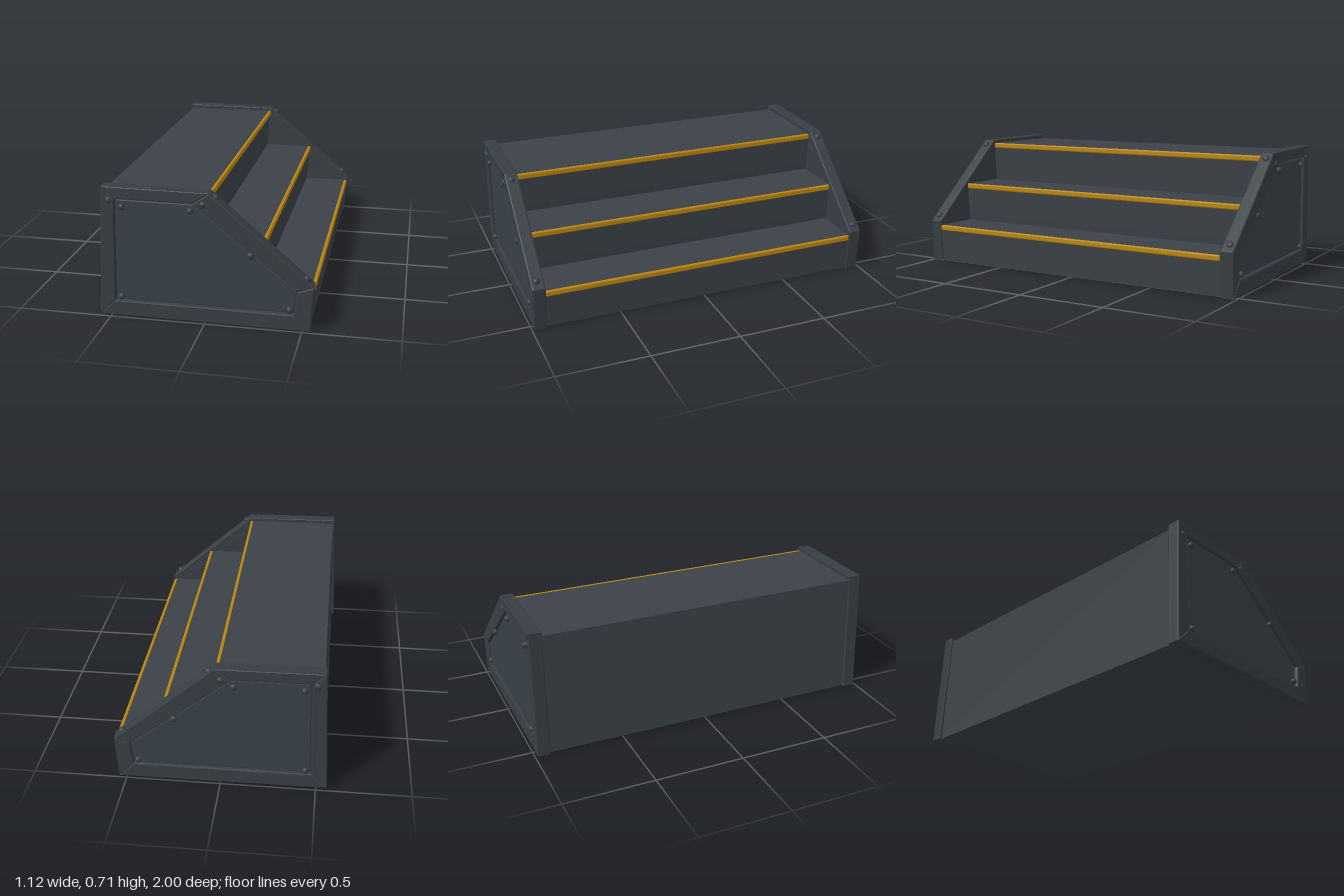
import * as THREE from 'three';
import { RoundedBoxGeometry } from 'three/addons/geometries/RoundedBoxGeometry.js';

const mat = (name, color) => {
  const m = new THREE.MeshStandardMaterial({ color });
  m.name = name;
  return m;
};

export function createModel() {
  const group = new THREE.Group();
  const frameMat = mat('dark steel', 0x373e43);
  const panelMat = mat('panel steel', 0x394147);
  const treadMat = mat('tread grey', 0x3b4147);
  const yellow = mat('safety yellow', 0xb8860e);

  const add = (parent, name, geometry, material, x = 0, y = 0, z = 0) => {
    const mesh = new THREE.Mesh(geometry, material);
    mesh.name = name;
    mesh.position.set(x, y, z);
    parent.add(mesh);
    return mesh;
  };

  // Prism along z, centred on z = 0, with an optional bevel kept inside the outline
  const prism = (points, depth, bevel = 0) => {
    const shape = new THREE.Shape(points.map(([x, y]) => new THREE.Vector2(x, y)));
    const g = new THREE.ExtrudeGeometry(shape, {
      depth: depth - 2 * bevel, bevelEnabled: bevel > 0, bevelSize: bevel,
      bevelThickness: bevel, bevelOffset: -bevel, bevelSegments: 2,
    });
    return g.translate(0, 0, bevel - depth / 2);
  };

  // Stepped body with slightly undercut risers and a leaning back
  const body = [
    [-0.545, 0.008], [0.535, 0.008], [0.547, 0.222],
    [0.28, 0.222], [0.283, 0.26], [0.295, 0.448],
    [0.004, 0.448], [0.007, 0.49], [0.018, 0.682], [-0.52, 0.682],
  ];
  add(group, 'steppedBody', prism(body, 1.86), treadMat);

  // Yellow nosing on each step edge
  for (const [x, y] of [[0.016, 0.668], [0.293, 0.435], [0.546, 0.209]]) {
    add(group, 'stepNosing', new RoundedBoxGeometry(0.02, 0.032, 1.83, 2, 0.008), yellow, x, y, 0);
  }

  // Outer and inner outlines of the end frames, in matching order
  const outer = [[-0.56, 0.008], [0.541, 0.002], [0.557, 0.245], [0.028, 0.702], [-0.528, 0.707]];
  const inner = [[-0.476, 0.09], [0.459, 0.088], [0.476, 0.214], [-0.058, 0.641], [-0.463, 0.643]];
  const frameBolts = [[-0.49, 0.637], [-0.005, 0.64], [0.237, 0.39]];
  const panelBolts = [[-0.424, 0.602], [-0.07, 0.602], [-0.442, 0.112], [0.435, 0.112]];
  const edgeBolts = [[0.057, 0.674], [0.518, 0.277]];
  const slope = Math.atan2(0.702 - 0.245, 0.557 - 0.028);

  for (const side of [1, -1]) {
    const end = new THREE.Group();
    end.name = side > 0 ? 'frontEnd' : 'backEnd';
    group.add(end);

    // Five mitred rails
    outer.forEach((p, i) => {
      const j = (i + 1) % outer.length;
      add(end, 'frameRail', prism([p, outer[j], inner[j], inner[i]], 0.072, 0.007), frameMat, 0, 0, side * 0.952);
    });

    // Backing plate behind the seams, and the recessed panel
    const backing = outer.map(([x, y], i) => [x * 0.85 + inner[i][0] * 0.15, y * 0.85 + inner[i][1] * 0.15]);
    add(end, 'backingPlate', prism(backing, 0.042), frameMat, 0, 0, side * 0.938);
    const inset = inner.map(([x, y]) => [x * 0.985, 0.36 + (y - 0.36) * 0.985]);
    add(end, 'recessedPanel', prism(inset, 0.05, 0.006), panelMat, 0, 0, side * 0.95);

    // Domed bolts on the rails and on the panel
    const dome = (name, r, x, y, z) =>
      add(end, name, new THREE.SphereGeometry(r, 16, 10), frameMat, x, y, z);
    for (const [x, y] of frameBolts) dome('railBolt', 0.018, x, y, side * 0.986).scale.z = 0.75;
    for (const [x, y] of panelBolts) dome('panelBolt', 0.018, x, y, side * 0.98).scale.z = 0.95;

    // Bolts on the sloping edge
    for (const [x, y] of edgeBolts) {
      const bolt = dome('slopeBolt', 0.02, x, y, side * 0.955);
      bolt.scale.y = 0.8;
      bolt.rotation.z = -slope;
    }
  }
  return group;
}
